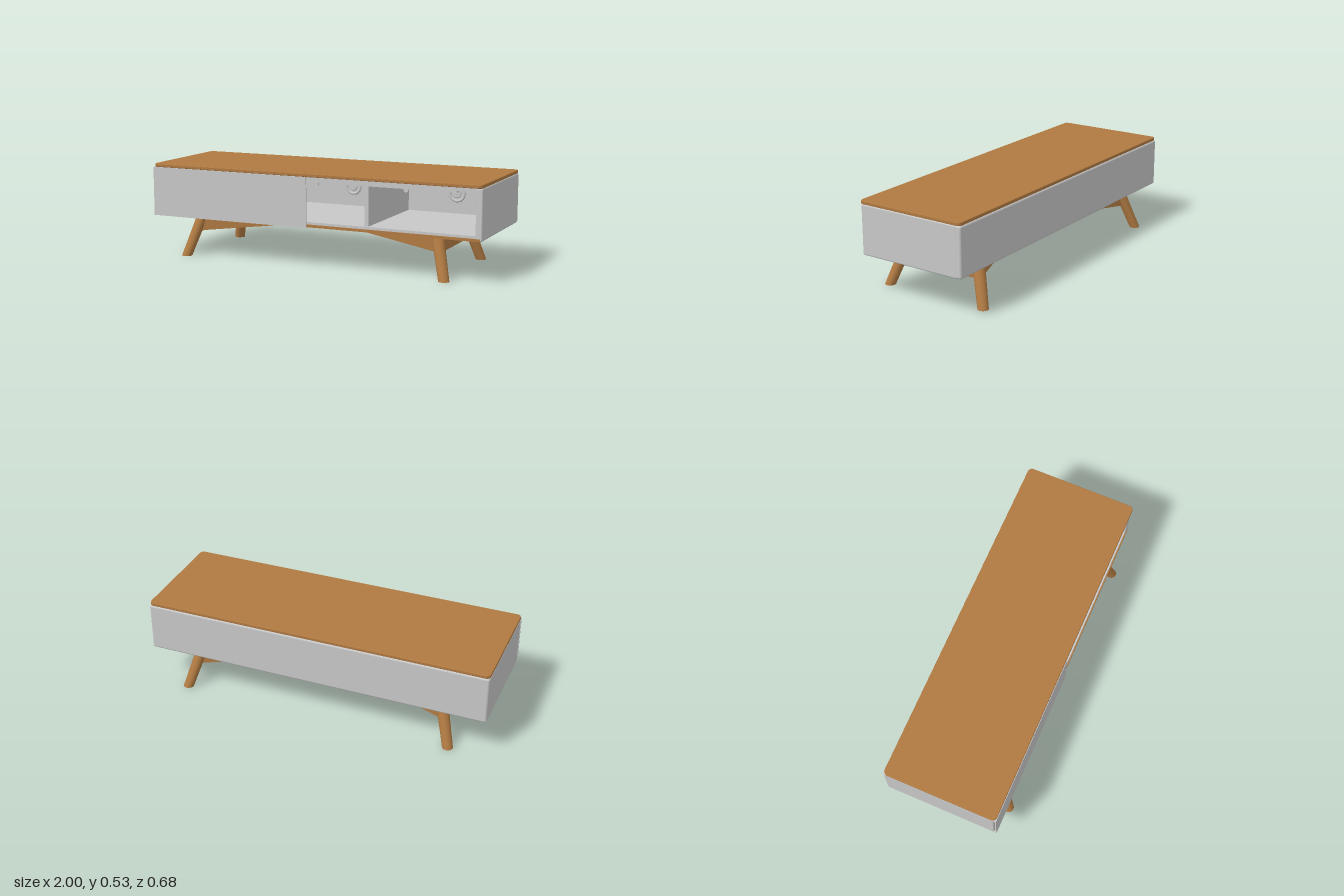
import * as THREE from 'three';
import { RoundedBoxGeometry } from 'three/addons/geometries/RoundedBoxGeometry.js';

export function createModel() {
  const model = new THREE.Group();
  model.name = 'mediaBench';
  const wood = new THREE.MeshStandardMaterial({ color: 0xb07a42 });
  wood.name = 'warm wood';
  const grey = new THREE.MeshStandardMaterial({ color: 0xc8c7c8 });
  grey.name = 'pale grey lacquer';

  function add(name, geometry, material, x = 0, y = 0, z = 0) {
    const mesh = new THREE.Mesh(geometry, material);
    mesh.name = name;
    mesh.position.set(x, y, z);
    model.add(mesh);
    return mesh;
  }
  // A panel given by its minimum and maximum corners, optionally with rounded edges
  function panel(name, material, [x0, y0, z0], [x1, y1, z1], radius = 0) {
    const w = x1 - x0, h = y1 - y0, d = z1 - z0;
    const geometry = radius ? new RoundedBoxGeometry(w, h, d, 3, radius) : new THREE.BoxGeometry(w, h, d);
    return add(name, geometry, material, (x0 + x1) / 2, (y0 + y1) / 2, (z0 + z1) / 2);
  }

  // Table top with softened plan corners
  const r = 0.025, X = 1, Z = 0.327;
  const outline = new THREE.Shape();
  outline.absarc(X - r, Z - r, r, 0, Math.PI / 2);
  outline.absarc(-X + r, Z - r, r, Math.PI / 2, Math.PI);
  outline.absarc(-X + r, -Z + r, r, Math.PI, Math.PI * 1.5);
  outline.absarc(X - r, -Z + r, r, Math.PI * 1.5, Math.PI * 2);
  const topGeometry = new THREE.ExtrudeGeometry(outline, {
    depth: 0.012, bevelEnabled: true, bevelSize: 0.004, bevelOffset: -0.004,
    bevelThickness: 0.004, bevelSegments: 2, curveSegments: 6,
  });
  topGeometry.rotateX(-Math.PI / 2);
  add('tableTop', topGeometry, wood, 0, 0.514, 0);

  // Cabinet shell, open at the front
  panel('cabinetFloor', grey, [-0.99, 0.23, -0.32], [0.99, 0.258, 0.312]);
  panel('cabinetCeiling', grey, [-0.99, 0.49, -0.32], [0.99, 0.51, 0.312]);
  panel('backPanel', grey, [-1, 0.23, -0.33], [1, 0.511, -0.292], 0.012);
  for (const s of [-1, 1]) {
    const xs = [s * 0.962, s].sort((a, b) => a - b);
    panel('sidePanel', grey, [xs[0], 0.229, -0.305], [xs[1], 0.511, 0.316], 0.009);
    panel('divider', grey, [s * 0.34 - 0.012, 0.25, -0.3], [s * 0.34 + 0.012, 0.495, 0.3]);
  }

  // Sliding door with its rails
  panel('slidingDoor', grey, [-1, 0.226, 0.324], [-0.01, 0.51, 0.33]);
  panel('doorLip', grey, [-1, 0.503, 0.305], [-0.01, 0.51, 0.326]);
  panel('doorTrack', grey, [-0.85, 0.478, 0.29], [0.85, 0.491, 0.3]);
  panel('bottomRunner', wood, [-0.98, 0.229, 0.312], [0.99, 0.244, 0.318]);
  for (const x of [0.04, 0.57]) {
    const roller = add('doorRoller', new THREE.CylinderGeometry(0.014, 0.014, 0.01, 16), grey, x, 0.474, 0.3);
    roller.rotation.x = Math.PI / 2;
  }

  // Cable grommets on the back wall, one for each compartment
  for (const x of [-0.65, 0, 0.65]) {
    add('grommetRing', new THREE.TorusGeometry(0.044, 0.008, 8, 28), grey, x, 0.375, -0.29);
    add('grommetHub', new THREE.TorusGeometry(0.02, 0.006, 8, 20), grey, x, 0.375, -0.29);
    for (const a of [0, Math.PI / 2]) {
      add('grommetCross', new THREE.BoxGeometry(0.04, 0.008, 0.008), grey, x, 0.375, -0.289).rotation.z = a;
    }
  }
  add('bottomBolt', new THREE.CylinderGeometry(0.022, 0.022, 0.02, 16), grey, -0.03, 0.222, 0.03);

  // Splayed legs: upright cylinders sheared outwards so the feet stay flat
  for (const sx of [-1, 1]) {
    for (const sz of [-1, 1]) {
      const leg = new THREE.CylinderGeometry(0.034, 0.03, 0.232, 24, 4);
      leg.translate(0, 0.116, 0);
      const p = leg.attributes.position;
      for (let i = 0; i < p.count; i++) {
        const t = p.getY(i) / 0.232;
        p.setX(i, p.getX(i) + sx * (0.793 - 0.066 * t));
        p.setZ(i, p.getZ(i) + sz * (0.312 - 0.076 * t));
      }
      leg.computeVertexNormals();
      add('leg', leg, wood);
    }
    // End rail between two legs
    panel('endRail', wood, [sx * 0.737 - 0.018, 0.141, -0.25], [sx * 0.737 + 0.018, 0.231, 0.25]);
  }

  // Long rails, bent towards the middle and tapering upwards
  for (const sz of [-1, 1]) {
    const rail = new THREE.BoxGeometry(3, 1, 0.038, 3, 1, 1).toNonIndexed();
    const p = rail.attributes.position;
    for (let i = 0; i < p.count; i++) {
      const x = p.getX(i), end = Math.abs(x) > 1;
      const low = p.getY(i) < 0;
      p.setXYZ(i, Math.sign(x) * (end ? 0.735 : 0.22),
        low ? (end ? 0.143 : 0.195) : 0.231,
        p.getZ(i) + sz * (end ? 0.243 : 0.1));
    }
    rail.computeVertexNormals();
    add('longRail', rail, wood);
  }

  return model;
}
